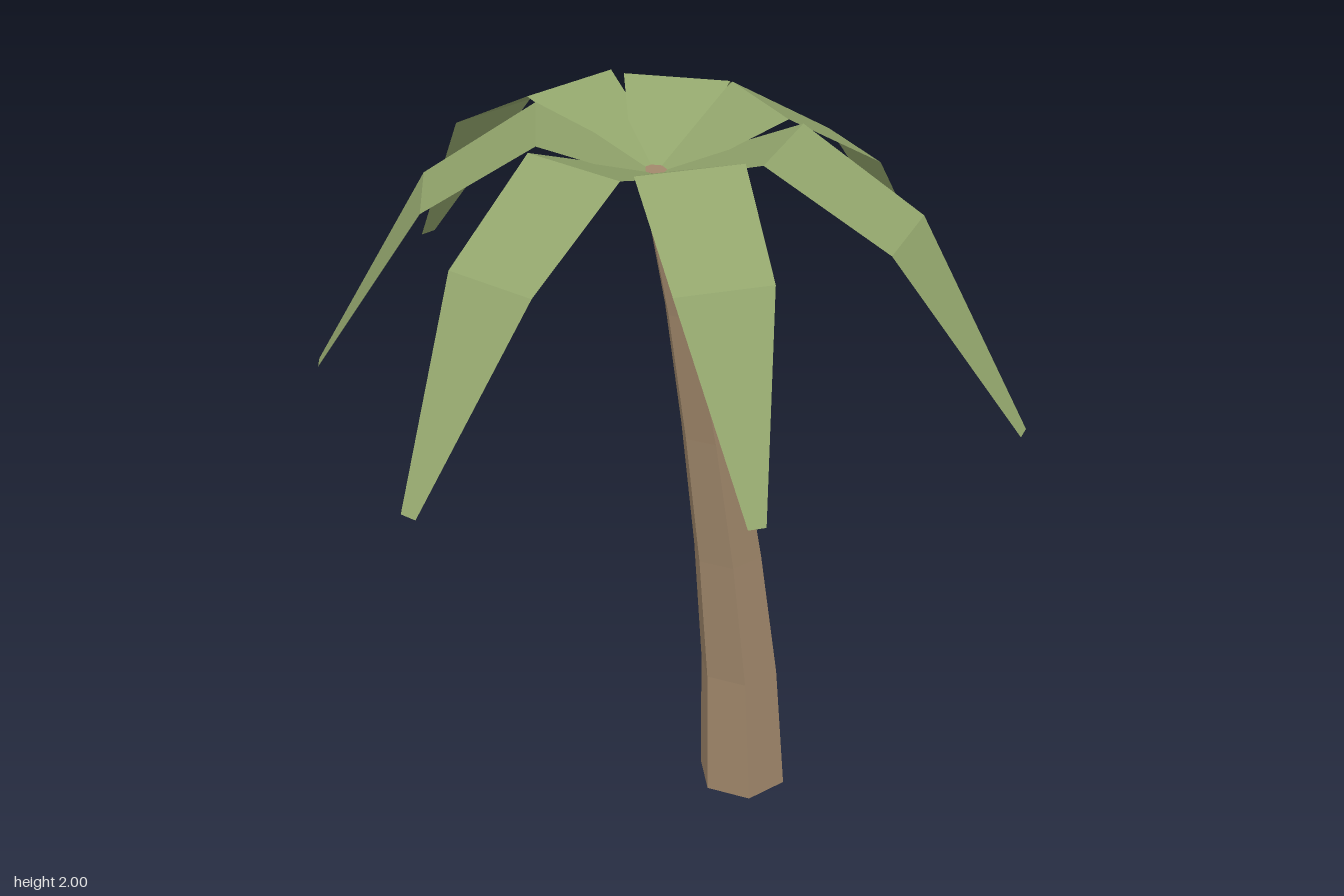
import * as THREE from 'three';

const bark = new THREE.MeshStandardMaterial({ color: 0xa2896c, flatShading: true });
bark.name = 'bark brown';
const green = new THREE.MeshStandardMaterial({ color: 0x92a56c, flatShading: true, side: THREE.DoubleSide });
green.name = 'palm green';

// Crown centre, where all fronds meet
const CROWN = new THREE.Vector3(0.03, 0, 0.05);

// Curved, tapering six-sided trunk: each ring is [x, y, z, radius]
function createTrunk() {
  const rings = [
    [0.4, 0, -0.033, 0.118],
    [0.367, 0.38, -0.02, 0.104],
    [0.308, 0.76, -0.005, 0.09],
    [0.235, 1.14, 0.01, 0.077],
    [0.15, 1.5, 0.025, 0.06],
    [0.037, 1.89, 0.04, 0.04],
  ];
  const geo = new THREE.CylinderGeometry(1, 1, 1, 6, rings.length - 1, false, Math.PI / 6);
  const p = geo.attributes.position;
  for (let i = 0; i < p.count; i++) {
    const [x, y, z, r] = rings[Math.round((p.getY(i) + 0.5) * (rings.length - 1))];
    p.setXYZ(i, x + p.getX(i) * r, y, z + p.getZ(i) * r);
  }
  geo.computeVertexNormals();
  const trunk = new THREE.Mesh(geo, bark);
  trunk.name = 'trunk';
  return trunk;
}

// Flat frond that rises from the crown, bends over and droops to a narrow tip
function createFrond(tipX, tipZ) {
  const dx = tipX - CROWN.x, dz = tipZ - CROWN.z;
  const length = Math.hypot(dx, dz);
  // rows from tip to base: [share of length, height, half width]
  const rows = [
    [1, 1.42, 0.02],
    [0.67, 1.84, 0.11],
    [0.34, 2, 0.122],
    [0, 1.88, 0.05],
  ];
  const geo = new THREE.PlaneGeometry(2, 1, 1, 3);
  const p = geo.attributes.position;
  for (let i = 0; i < p.count; i++) {
    const [t, y, w] = rows[Math.floor(i / 2)];
    p.setXYZ(i, p.getX(i) * w, y, -t * length);
  }
  geo.computeVertexNormals();
  const frond = new THREE.Mesh(geo, green);
  frond.rotation.y = Math.atan2(-dx, -dz);
  frond.position.copy(CROWN);
  return frond;
}

export function createModel() {
  const palm = new THREE.Group();
  palm.name = 'palmTree';
  palm.add(createTrunk());

  // Seven fronds, given by the ground position of their tips
  const crown = new THREE.Group();
  crown.name = 'crown';
  const tips = [
    [-0.02, -0.82], [0.607, -0.47], [0.797, 0.17], [0.46, 0.81],
    [-0.253, 0.763], [-0.798, 0.293], [-0.597, -0.395],
  ];
  tips.forEach(([x, z], i) => {
    const frond = createFrond(x, z);
    frond.name = `frond${i + 1}`;
    crown.add(frond);
  });
  palm.add(crown);
  return palm;
}
